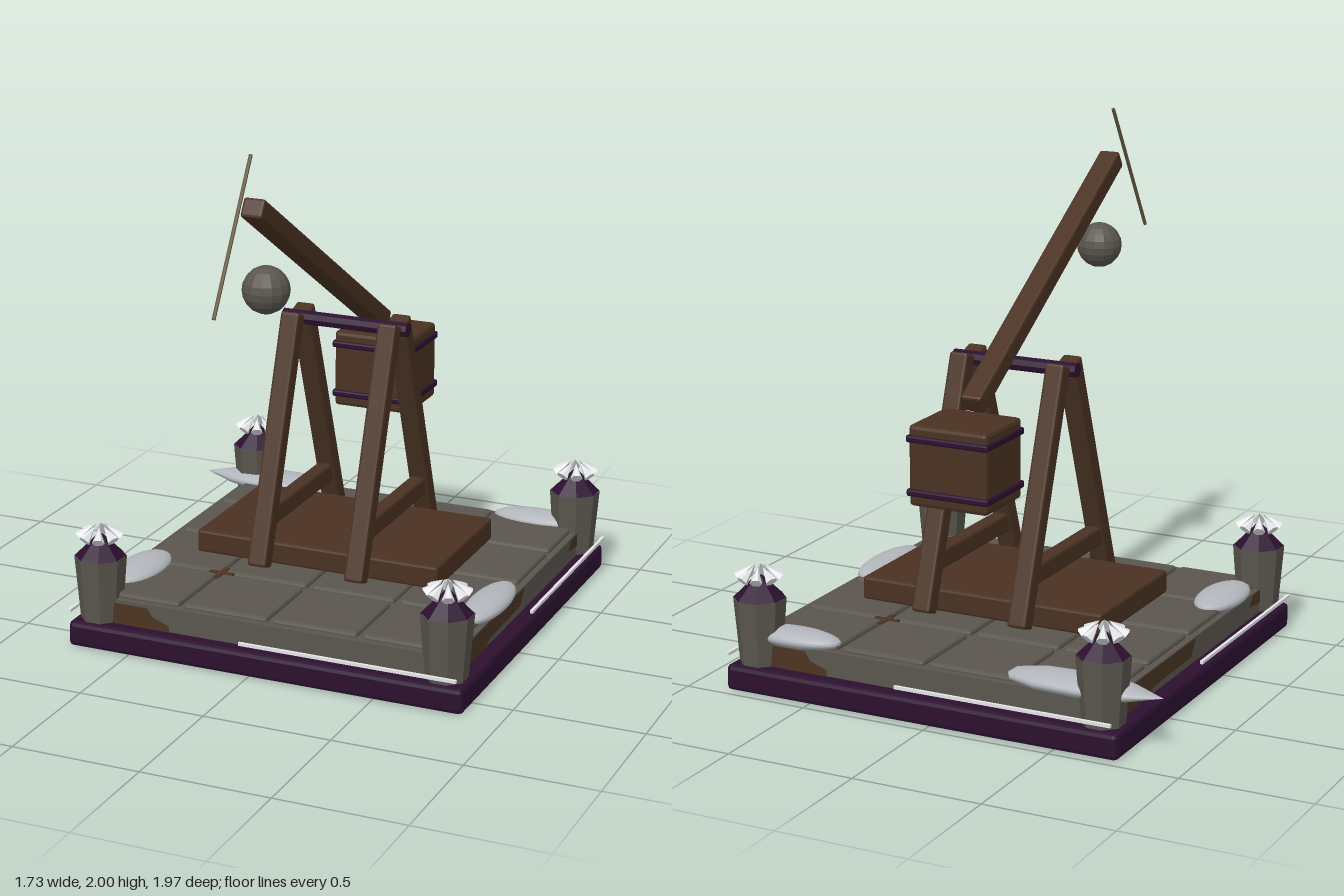
import * as THREE from 'three';
import { RoundedBoxGeometry } from 'three/addons/geometries/RoundedBoxGeometry.js';

const mat = (name, color, extra = {}) =>
  Object.assign(new THREE.MeshStandardMaterial({ color, flatShading: true, ...extra }), { name });

export function createModel() {
  const wood = mat('wood', 0x4a3222);
  const stone = mat('stone', 0x5a564e);
  const purple = mat('darkPurple', 0x2c1030);
  const snow = mat('snow', 0xb2b6bc, { flatShading: false });
  const frost = mat('frost', 0xe4e6e8);
  const rope = mat('rope', 0x6a5c42);
  const mud = mat('mud', 0x4c3423, { side: THREE.DoubleSide });

  // Everything is laid out around the middle of the base
  const model = new THREE.Group();
  model.name = 'catapult';
  model.position.set(0.05, 0, -0.17);

  const add = (name, geo, material, x = 0, y = 0, z = 0, parent = model) => {
    const m = new THREE.Mesh(geo, material);
    m.name = name;
    m.position.set(x, y, z);
    parent.add(m);
    return m;
  };
  const block = (w, h, d, r = 0.01) => new RoundedBoxGeometry(w, h, d, 1, r);

  // Base slab, stone plinth and paving
  add('baseSlab', block(1.6, 0.1, 1.6, 0.018), purple, 0, 0.05);
  add('plinth', new THREE.BoxGeometry(1.48, 0.1, 1.48), stone, 0, 0.145);
  for (let i = 0; i < 4; i++)
    for (let j = 0; j < 4; j++)
      add('pavingTile', block(0.342, 0.03, 0.342, 0.012), stone, (i - 1.5) * 0.362, 0.198, (j - 1.5) * 0.362);

  // Mud showing in two paving joints
  for (const s of [-1, 1]) {
    add('jointMudAcross', new THREE.BoxGeometry(0.1, 0.008, 0.022), mud, s * 0.362, 0.208, -s * 0.362);
    add('jointMudAlong', new THREE.BoxGeometry(0.022, 0.008, 0.1), mud, s * 0.362, 0.208, -s * 0.362);
  }

  // Mud patches and frost rail, repeated around the four sides
  const patch = pts => new THREE.ShapeGeometry(new THREE.Shape(pts.map(p => new THREE.Vector2(...p))));
  const shortPatch = patch([[-0.65, 0.1], [-0.4, 0.1], [-0.4, 0.125], [-0.47, 0.15], [-0.49, 0.183], [-0.65, 0.183]]);
  const longPatch = patch([[-0.63, 0.1], [-0.41, 0.1], [-0.36, 0.125], [-0.03, 0.13], [0.01, 0.192], [-0.63, 0.192]]);
  const endPatch = patch([[0.53, 0.15], [0.64, 0.14], [0.64, 0.192], [0.56, 0.192]]);
  for (let k = 0; k < 4; k++) {
    const side = new THREE.Group();
    side.name = 'baseSide';
    side.rotation.y = k * Math.PI / 2;
    model.add(side);
    add('mudPatch', k % 2 ? longPatch : shortPatch, mud, 0, 0, 0.743, side);
    if (k % 2) add('mudPatchEnd', endPatch, mud, 0, 0, 0.743, side);
    add('frostRail', new THREE.BoxGeometry(0.86, 0.012, 0.012), frost, 0.35, 0.134, 0.805, side);
  }

  // Corner turrets with pointed roofs and a crown of frost spikes
  for (const sx of [-1, 1])
    for (const sz of [-1, 1]) {
      const turret = new THREE.Group();
      turret.name = 'turret';
      turret.position.set(sx * 0.704, 0, sz * 0.704);
      model.add(turret);
      add('turretWall', new THREE.CylinderGeometry(0.1, 0.08, 0.25, 8).rotateY(Math.PI / 8), stone, 0, 0.225, 0, turret);
      add('turretRoof', new THREE.CylinderGeometry(0.015, 0.1, 0.085, 8).rotateY(Math.PI / 8), purple, 0, 0.39, 0, turret);
      for (let i = 0; i < 8; i++) {
        const spoke = new THREE.Group();
        spoke.name = 'frostSpike';
        spoke.rotation.y = (i + 0.5) * Math.PI / 4;
        turret.add(spoke);
        add('spike', new THREE.ConeGeometry(0.024, 0.07, 6), frost, 0.05, 0.449, 0, spoke).rotation.z = 0.86;
      }
    }

  // Snow drifts: x, z, half width, half depth
  const drifts = [[0.56, -0.69, 0.19, 0.075], [0.69, 0.235, 0.075, 0.215], [-0.665, 0.44, 0.09, 0.18]];
  for (const [x, z, w, d] of drifts)
    add('snowDrift', new THREE.SphereGeometry(1, 24, 12), snow, x, 0.212, z).scale.set(w, 0.036, d);
  const tapered = [[0, -0.3], [0.05, -0.27], [0.085, -0.16], [0.092, 0], [0.085, 0.11], [0.065, 0.18], [0, 0.31]]
    .map(p => new THREE.Vector2(...p));
  const longDrift = add('pointedSnowDrift', new THREE.LatheGeometry(tapered, 20).rotateZ(Math.PI / 2), snow, -0.61, 0.213, -0.67);
  longDrift.scale.y = 0.42;

  // Timber platform
  add('platform', block(1.0, 0.09, 0.59), wood, 0, 0.295, -0.005);

  // Two A-frames joined by the axle
  for (const sx of [-1, 1]) {
    for (const sz of [-1, 1])
      add('frameLeg', block(0.076, 0.98, 0.07), wood, sx * 0.2, 0.725, sz * 0.205).rotation.x = -sz * 0.333;
    add('frameBrace', block(0.06, 0.076, 0.58), wood, sx * 0.2, 0.443, 0);
  }
  add('axle', new THREE.CylinderGeometry(0.028, 0.028, 0.515, 8).rotateZ(Math.PI / 2), purple, 0, 1.162, 0);

  // Throwing arm, sling rope and stone ball
  add('throwingArm', block(0.084, 0.074, 1.384), wood, 0, 1.444, 0.243).rotation.x = -0.553;
  add('slingRope', new THREE.CylinderGeometry(0.007, 0.007, 0.6, 6), rope, 0, 1.742, 0.995).rotation.x = -0.542;
  add('stoneBall', new THREE.SphereGeometry(0.088, 14, 10), stone, 0, 1.48, 0.72);

  // Counterweight box with two bands
  add('counterweight', block(0.32, 0.306, 0.28, 0.015), wood, 0, 0.883, -0.4);
  for (const y of [0.782, 0.984])
    add('counterweightBand', block(0.334, 0.028, 0.296, 0.008), purple, 0, y, -0.4);

  const root = new THREE.Group();
  root.add(model);
  return root;
}
